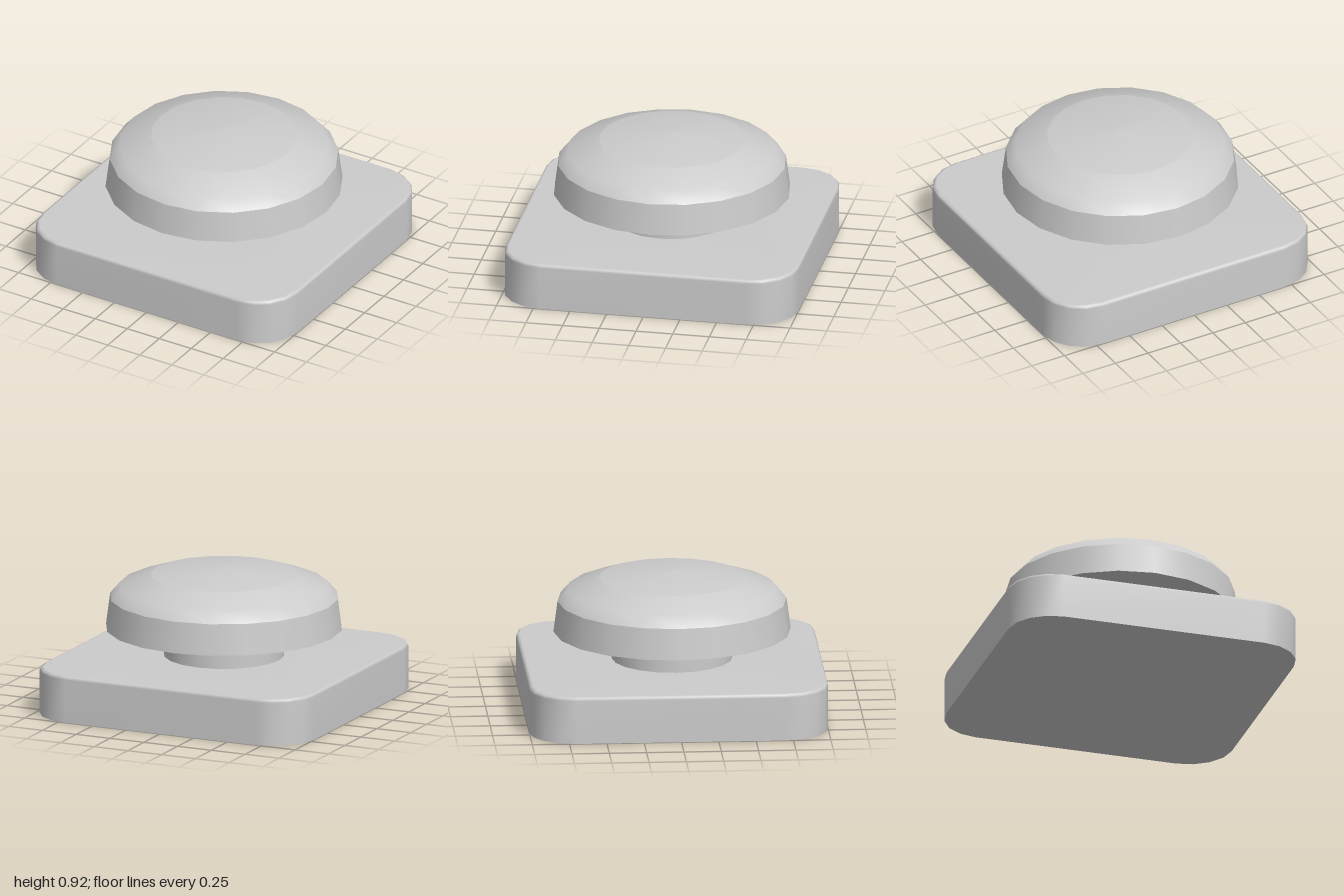
import * as THREE from 'three';

const material = new THREE.MeshStandardMaterial({ color: 0xcccccc });
const SIDES = 20;

function lathe(name, profile) {
  const points = profile.map(([r, y]) => new THREE.Vector2(r, y));
  const mesh = new THREE.Mesh(new THREE.LatheGeometry(points, SIDES), material);
  mesh.name = name;
  return mesh;
}

// Rounded square outline with four segments per corner
function outline(inset, half = 1, radius = 0.3, segments = 4) {
  const points = [];
  for (let corner = 0; corner < 4; corner++) {
    const mid = (corner + 0.5) * Math.PI / 2;
    const cx = Math.sign(Math.cos(mid)) * (half - radius);
    const cz = Math.sign(Math.sin(mid)) * (half - radius);
    for (let i = 0; i <= segments; i++) {
      const a = (corner + i / segments) * Math.PI / 2;
      points.push([cx + Math.cos(a) * (radius - inset), cz + Math.sin(a) * (radius - inset)]);
    }
  }
  return points;
}

// Skin through stacked outlines given as [inset, y]; closed flat on one end
function stack(rings, closeTop, closeBottom) {
  const positions = [], index = [];
  const n = outline(0).length;
  rings.forEach(([inset, y]) => outline(inset).forEach(([x, z]) => positions.push(x, y, z)));
  for (let r = 0; r < rings.length - 1; r++) {
    for (let i = 0; i < n; i++) {
      const a = r * n + i, b = r * n + (i + 1) % n;
      index.push(a, a + n, b, b, a + n, b + n);
    }
  }
  const cap = (ring, up) => {
    const centre = positions.length / 3;
    positions.push(0, rings[ring][1], 0);
    for (let i = 0; i < n; i++) {
      const a = ring * n + i, b = ring * n + (i + 1) % n;
      index.push(centre, up ? b : a, up ? a : b);
    }
  };
  if (closeTop) cap(rings.length - 1, true);
  if (closeBottom) cap(0, false);
  const geometry = new THREE.BufferGeometry();
  geometry.setAttribute('position', new THREE.Float32BufferAttribute(positions, 3));
  geometry.setIndex(index);
  geometry.computeVertexNormals();
  return geometry;
}

export function createModel() {
  const model = new THREE.Group();
  model.name = 'pushButton';

  // Square base: softened top edge, sharp bottom edge
  const base = new THREE.Group();
  base.name = 'base';
  const body = new THREE.Mesh(
    stack([[0, 0], [0, 0.295], [0.008, 0.312], [0.025, 0.32]], true, false), material);
  body.name = 'baseBody';
  const bottom = new THREE.Mesh(stack([[0, 0]], false, true), material);
  bottom.name = 'baseBottom';
  base.add(body, bottom);

  // Stem between base and cap
  const stem = lathe('stem', [[0.405, 0.31], [0.405, 0.52]]);

  // Domed cap, split where its edges are sharp
  const cap = new THREE.Group();
  cap.name = 'cap';
  cap.add(
    lathe('capUnderside', [[0, 0.51], [0.795, 0.51]]),
    lathe('capSkirt', [[0.795, 0.51], [0.767, 0.72]]),
    lathe('capShoulder', [[0.767, 0.72], [0.7, 0.797], [0.49, 0.873]]),
    lathe('capCrown', [[0.49, 0.873], [0.26, 0.91], [0, 0.923]])
  );

  model.add(base, stem, cap);
  return model;
}
